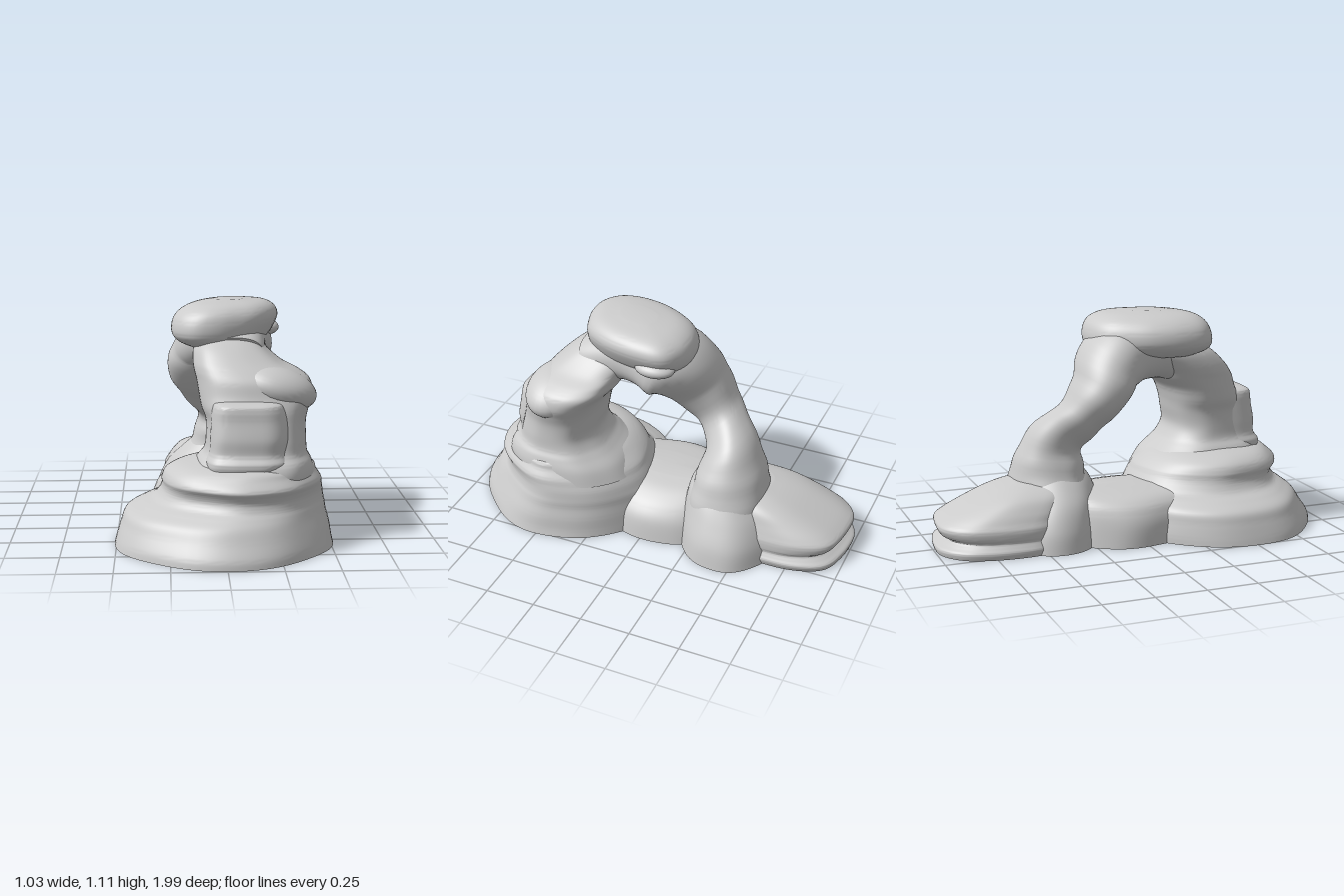
import * as THREE from 'three';
import { toCreasedNormals } from 'three/addons/utils/BufferGeometryUtils.js';

const SIDES = 64, STEPS = 6;
const material = new THREE.MeshStandardMaterial({ color: 0xcccccc });

// Smoothly interpolate every column of a table of rows.
function smoothRows(rows) {
  const out = [], last = rows.length - 1;
  for (let i = 0; i < last; i++) {
    for (let k = 0; k < STEPS; k++) {
      const t = k / STEPS;
      const a = rows[Math.max(i - 1, 0)], b = rows[i], c = rows[i + 1], d = rows[Math.min(i + 2, last)];
      out.push(b.map((v, j) => v + 0.5 * t * (c[j] - a[j] +
        t * (2 * a[j] - 5 * v + 4 * c[j] - d[j] + t * (3 * (v - c[j]) + d[j] - a[j])))));
    }
  }
  out.push(rows[last]);
  return out;
}

// Rounded-square curve: power 2 is an ellipse, higher is boxier.
function superPoint(angle, power) {
  const f = (v) => Math.sign(v) * Math.abs(v) ** (2 / power);
  return [f(Math.cos(angle)), f(Math.sin(angle))];
}

// Skin a list of rings and close both ends.
function skin(name, rings) {
  const pos = [], index = [], n = rings.length;
  for (const ring of rings) for (const p of ring) pos.push(p.x, p.y, p.z);
  for (const ring of [rings[0], rings[n - 1]]) {
    const mid = ring.reduce((s, p) => s.add(p), new THREE.Vector3()).divideScalar(SIDES);
    pos.push(mid.x, mid.y, mid.z);
  }
  for (let j = 0; j < SIDES; j++) {
    const k = (j + 1) % SIDES;
    for (let i = 0; i < n - 1; i++) {
      const a = i * SIDES + j, b = i * SIDES + k;
      index.push(a, a + SIDES, b, b, a + SIDES, b + SIDES);
    }
    const top = (n - 1) * SIDES;
    index.push(n * SIDES, j, k, n * SIDES + 1, top + k, top + j);
  }
  const geo = new THREE.BufferGeometry();
  geo.setAttribute('position', new THREE.Float32BufferAttribute(pos, 3));
  geo.setIndex(index);
  const mesh = new THREE.Mesh(toCreasedNormals(geo, 0.9), material);
  mesh.name = name;
  return mesh;
}

// Weathered stack of horizontal outlines; rows are [y, xMin, xMax, zMin, zMax].
function strata(name, rows, { power = 2.4, lobe = 0.015, phase = 0, shear = 0 } = {}) {
  const rings = smoothRows(rows).map(([y, x0, x1, z0, z1]) =>
    Array.from({ length: SIDES }, (_, j) => {
      const a = (j / SIDES) * Math.PI * 2;
      const [c, s] = superPoint(a, power);
      const r = 1 + lobe * (Math.sin(5 * a + phase + y * 3) + 0.6 * Math.sin(8 * a - phase * 2 + y * 5));
      const dz = s * r * (z1 - z0) / 2;
      return new THREE.Vector3((x0 + x1) / 2 + c * r * (x1 - x0) / 2 + shear * dz, y, (z0 + z1) / 2 + dz);
    }));
  return skin(name, rings);
}

// Arm swept along a bent path; rows are [x, y, z, halfWidth, halfThickness].
function sweep(name, rows) {
  const path = smoothRows(rows);
  const rings = path.map(([x, y, z, w, t], i) => {
    const a = path[Math.max(i - 1, 0)], b = path[Math.min(i + 1, path.length - 1)];
    const tangent = new THREE.Vector3(0, b[1] - a[1], b[2] - a[2]).normalize();
    const normal = new THREE.Vector3(1, 0, 0).cross(tangent);
    return Array.from({ length: SIDES }, (_, j) => {
      const ang = (j / SIDES) * Math.PI * 2;
      const [c, s] = superPoint(ang, 2.3);
      const r = 1 + 0.03 * Math.sin(3 * ang + i * 0.25) + 0.012 * Math.sin(i * 1.3);
      return new THREE.Vector3(x + c * w * r, y, z).addScaledVector(normal, s * t * r);
    });
  });
  return skin(name, rings);
}

// Rounded lump of rock.
function boulder(name, [x, y, z], [rx, ry, rz], tilt = 0) {
  const mesh = new THREE.Mesh(new THREE.SphereGeometry(1, 32, 20), material);
  mesh.position.set(x, y, z);
  mesh.scale.set(rx, ry, rz);
  mesh.rotation.z = tilt;
  mesh.name = name;
  return mesh;
}

export function createModel() {
  const group = new THREE.Group();
  group.name = 'rockArch';

  group.add(
    // Broad stepped foot under the front pillar
    strata('frontMound', [
      [0, -0.515, 0.515, -0.02, 0.995], [0.04, -0.505, 0.505, -0.02, 0.985], [0.1, -0.485, 0.495, -0.01, 0.945],
      [0.155, -0.46, 0.48, 0.0, 0.91], [0.19, -0.39, 0.475, 0.02, 0.87], [0.215, -0.33, 0.47, 0.04, 0.84],
      [0.25, -0.3, 0.465, 0.06, 0.825], [0.28, -0.29, 0.46, 0.08, 0.835], [0.31, -0.29, 0.455, 0.1, 0.85],
      [0.35, -0.27, 0.43, 0.15, 0.81], [0.38, -0.21, 0.42, 0.2, 0.77], [0.4, -0.1, 0.38, 0.26, 0.7],
    ], { power: 1.9, lobe: 0.01, phase: 0.5 }),

    // Leaning front pillar
    strata('frontPillar', [
      [0.28, -0.18, 0.43, 0.11, 0.76], [0.35, -0.15, 0.425, 0.16, 0.76], [0.4, -0.12, 0.41, 0.22, 0.74],
      [0.44, -0.09, 0.39, 0.26, 0.7], [0.5, -0.08, 0.385, 0.29, 0.68], [0.58, -0.08, 0.385, 0.28, 0.66],
      [0.64, -0.1, 0.4, 0.27, 0.645], [0.7, -0.11, 0.42, 0.25, 0.62], [0.76, -0.12, 0.41, 0.2, 0.6],
      [0.8, -0.13, 0.36, 0.18, 0.57], [0.84, -0.135, 0.28, 0.15, 0.53], [0.9, -0.13, 0.21, 0.1, 0.46],
      [0.95, -0.1, 0.18, 0.08, 0.38],
    ], { power: 2.5, lobe: 0.01, phase: 1.2 }),

    // Square block standing out from the pillar face
    strata('frontBlock', [
      [0.36, -0.08, 0.28, 0.36, 0.74], [0.41, -0.085, 0.3, 0.36, 0.75], [0.45, -0.07, 0.295, 0.36, 0.725],
      [0.52, -0.065, 0.3, 0.36, 0.725], [0.6, -0.06, 0.295, 0.36, 0.71], [0.65, -0.055, 0.28, 0.36, 0.705],
      [0.675, -0.04, 0.26, 0.38, 0.69], [0.685, 0.02, 0.2, 0.43, 0.62],
    ], { power: 3.4, lobe: 0.008 }),
    boulder('pillarKnob', [0.25, 0.725, 0.48], [0.19, 0.1, 0.145], -0.25),

    // Flat-topped cap, skewed across the arch
    strata('capRock', [
      [0.89, -0.13, 0.18, -0.1, 0.34], [0.92, -0.19, 0.22, -0.15, 0.395], [0.96, -0.22, 0.25, -0.18, 0.415],
      [1.02, -0.215, 0.275, -0.175, 0.41], [1.065, -0.18, 0.26, -0.145, 0.385], [1.095, -0.12, 0.21, -0.08, 0.33],
      [1.11, -0.03, 0.12, 0.03, 0.22],
    ], { power: 2.4, lobe: 0.01, phase: 2, shear: -0.24 }),
    boulder('capNub', [0.23, 0.95, -0.04], [0.07, 0.04, 0.1]),

    // Span and rear leg
    sweep('archArm', [
      [0.06, 0.84, 0.36, 0.14, 0.12], [0.04, 0.91, 0.14, 0.18, 0.14], [0.02, 0.875, -0.06, 0.235, 0.155],
      [-0.07, 0.735, -0.165, 0.18, 0.135], [-0.06, 0.605, -0.27, 0.13, 0.11], [0.05, 0.49, -0.36, 0.155, 0.13],
      [0.08, 0.36, -0.385, 0.2, 0.17], [0.08, 0.2, -0.39, 0.25, 0.195], [0.08, 0.02, -0.39, 0.28, 0.2],
    ]),

    // Low ground joining the two legs
    strata('saddle', [
      [0, -0.34, 0.34, -0.4, 0.36], [0.1, -0.33, 0.32, -0.38, 0.36], [0.16, -0.31, 0.28, -0.37, 0.35],
      [0.2, -0.28, 0.23, -0.36, 0.34], [0.23, -0.22, 0.17, -0.34, 0.32], [0.25, -0.1, 0.09, -0.28, 0.28],
    ], { power: 2.1, phase: 3 }),

    // Flared foot of the rear leg
    strata('rearMound', [
      [0, -0.32, 0.43, -0.7, -0.14], [0.1, -0.3, 0.41, -0.68, -0.15], [0.2, -0.25, 0.36, -0.64, -0.16],
      [0.28, -0.17, 0.31, -0.58, -0.18], [0.34, -0.1, 0.26, -0.54, -0.22],
    ], { power: 1.9, lobe: 0.01, phase: 4 }),

    // Layered rear slab with an undercut edge
    strata('rearSlab', [
      [0, -0.28, 0.28, -0.99, -0.3], [0.03, -0.285, 0.29, -0.995, -0.3], [0.05, -0.275, 0.28, -0.965, -0.3],
      [0.07, -0.265, 0.27, -0.94, -0.3], [0.09, -0.27, 0.275, -0.97, -0.3], [0.13, -0.27, 0.275, -0.985, -0.3],
      [0.16, -0.255, 0.265, -0.95, -0.3], [0.2, -0.235, 0.25, -0.87, -0.3], [0.25, -0.2, 0.23, -0.75, -0.32],
      [0.28, -0.15, 0.2, -0.66, -0.34], [0.3, -0.08, 0.15, -0.58, -0.38],
    ], { power: 2.6, lobe: 0.012, phase: 5 }),
  );
  return group;
}
